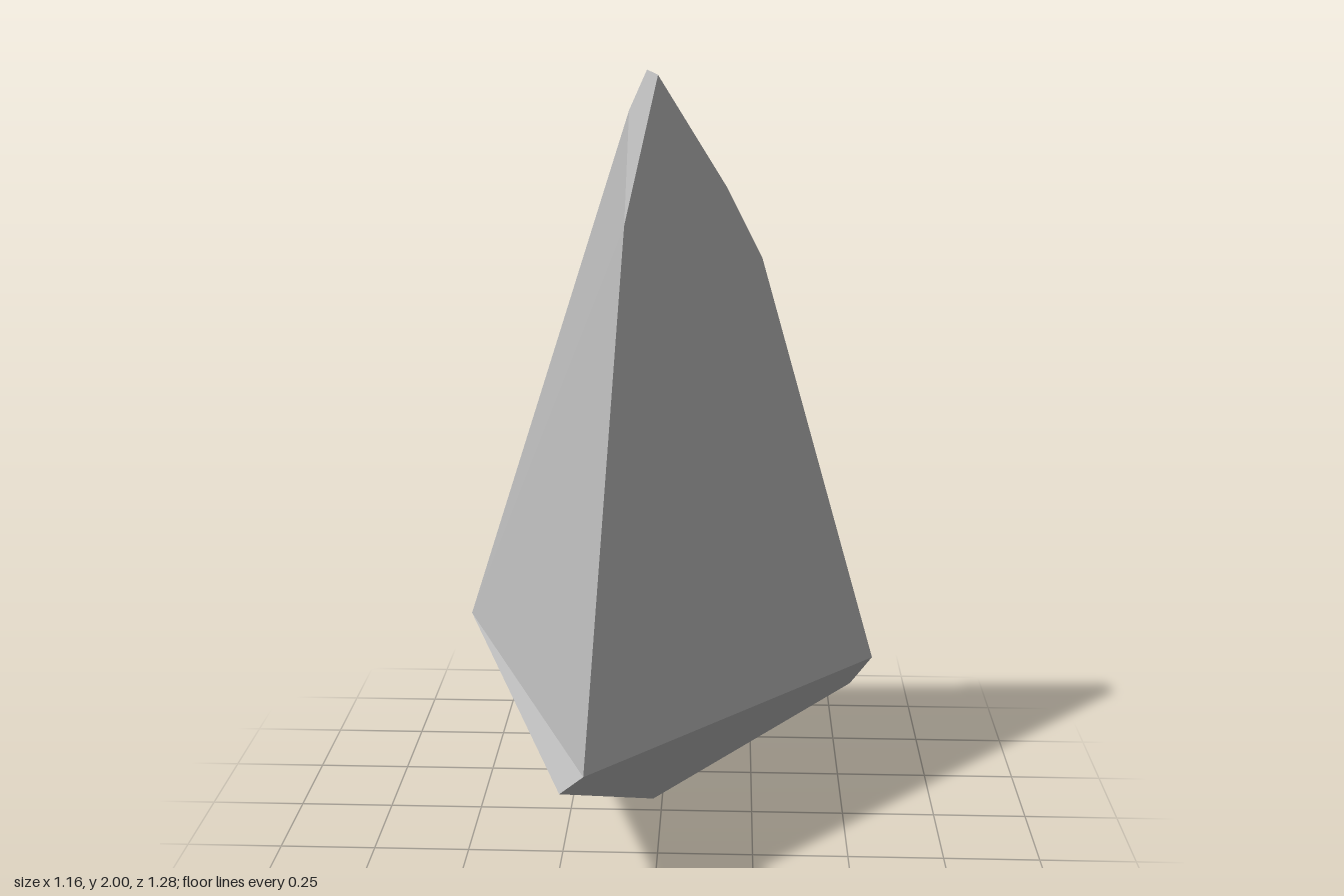
import * as THREE from 'three';

// Corner points of the cut stone
const P = {
  base: [-0.025, 0, -0.07],
  front: [-0.16, 0.4, 0.64], frontLow: [-0.22, 0.345, 0.62],
  left: [0.58, 0.4, -0.155], leftLow: [0.53, 0.27, -0.28], leftBack: [0.485, 0.4, -0.445],
  right: [-0.58, 0.4, -0.465], rightHigh: [-0.53, 0.56, -0.622], rightBack: [-0.415, 0.4, -0.643],
  frontShoulder: [-0.085, 1.64, 0.147], rightShoulder: [-0.085, 1.9, -0.09],
  leftShoulder: [0.26, 1.51, -0.182], leftNotch: [0.165, 1.7, -0.145],
  tip: [-0.01, 1.99, -0.052], tipBack: [-0.04, 2, -0.107],
};

// Facets, each drawn as a fan from its first corner
const facets = [
  'front left leftShoulder leftNotch tip frontShoulder', // broad front
  'tipBack leftNotch leftShoulder leftBack rightBack rightHigh', // broad back
  'leftShoulder left leftLow leftBack', // narrow left side
  'right frontLow front frontShoulder rightShoulder', // broad right side
  'tipBack rightHigh right rightShoulder', // back right bevel
  'tip tipBack leftNotch', // tip cuts
  'tip rightShoulder tipBack',
  'tip frontShoulder rightShoulder',
  'right rightHigh rightBack', // rear corner
  'base frontLow front left leftLow', // underside
  'base leftLow leftBack rightBack',
  'base rightBack right',
  'base right frontLow',
];

export function createModel() {
  const middle = new THREE.Vector3(-0.03, 0.6, -0.1);
  const positions = [];
  for (const facet of facets) {
    const pts = facet.split(' ').map((name) => new THREE.Vector3(...P[name]));
    for (let i = 1; i < pts.length - 1; i++) {
      const [a, b, c] = [pts[0], pts[i], pts[i + 1]];
      // Turn every triangle away from the middle
      const normal = b.clone().sub(a).cross(c.clone().sub(a));
      const outward = normal.dot(a.clone().add(b).add(c).divideScalar(3).sub(middle)) > 0;
      for (const p of outward ? [a, b, c] : [a, c, b]) positions.push(p.x, p.y, p.z);
    }
  }
  const geometry = new THREE.BufferGeometry();
  geometry.setAttribute('position', new THREE.Float32BufferAttribute(positions, 3));
  geometry.computeVertexNormals();

  const stone = new THREE.MeshStandardMaterial({ color: 0xb8b8b8 });
  stone.name = 'greyStone';
  const shard = new THREE.Mesh(geometry, stone);
  shard.name = 'stoneShard';

  const group = new THREE.Group();
  group.name = 'facetedStone';
  group.add(shard);
  return group;
}
